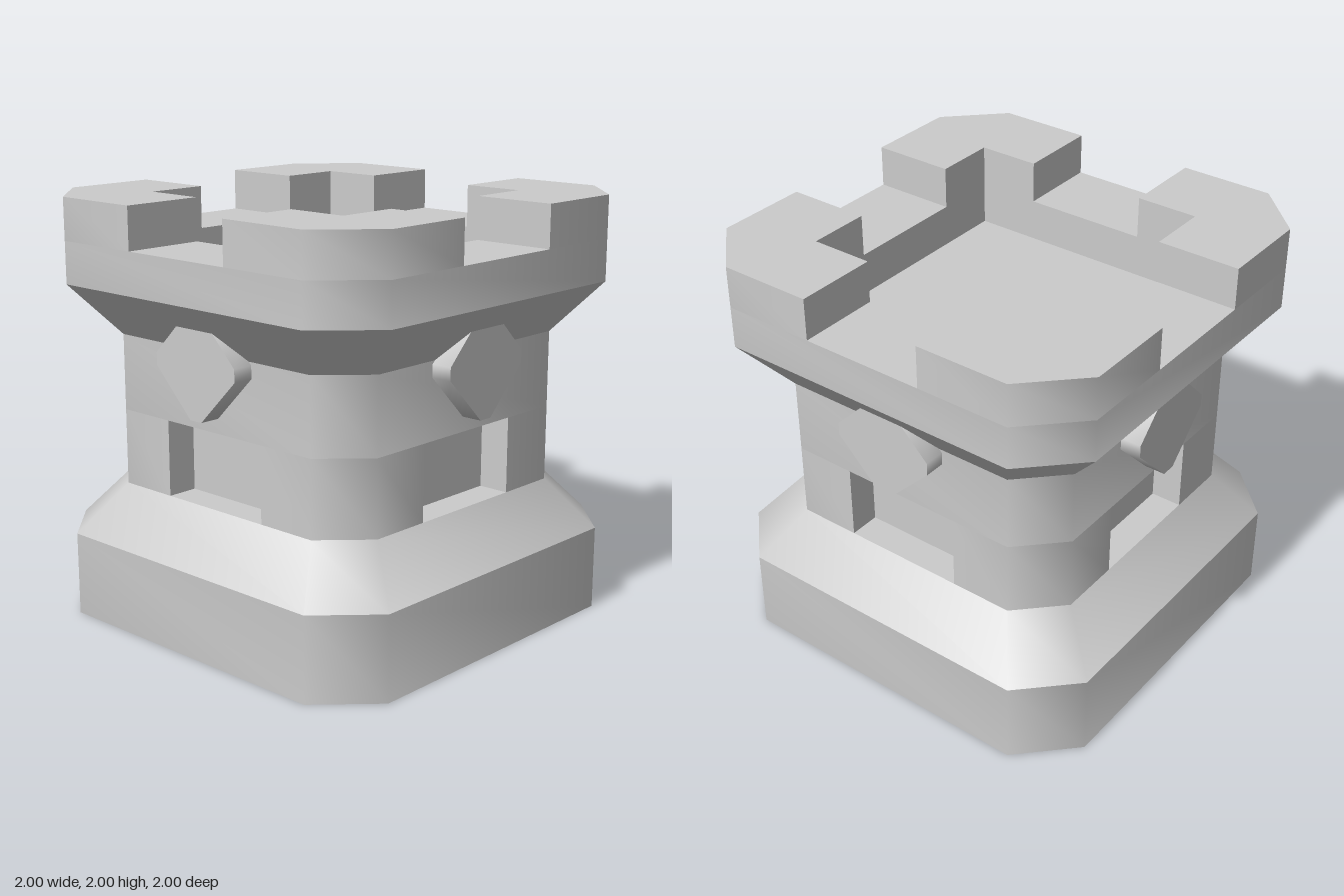
import * as THREE from 'three';
import { toCreasedNormals } from 'three/addons/utils/BufferGeometryUtils.js';

const material = new THREE.MeshStandardMaterial({ color: 0xcccccc });

const shapeOf = (pts) => new THREE.Shape(pts.map(([x, y]) => new THREE.Vector2(x, y)));

// Repeat a list of plan points around the four sides
const fourSides = (pts) => [0, 1, 2, 3].flatMap((k) =>
  pts.map(([x, y]) => [[x, y], [-y, x], [-x, -y], [y, -x]][k]));

// Square plan with chamfered corners
const octagon = (half) => fourSides([[half, -half * 0.75], [half, half * 0.75]]);

// Upright prism of a plan shape; the two ends may be scaled to make a slope
function prism(name, shape, y0, y1, bottomScale = 1, topScale = 1) {
  const geo = new THREE.ExtrudeGeometry(shape, { depth: y1 - y0, bevelEnabled: false });
  geo.rotateX(-Math.PI / 2).translate(0, y0, 0);
  const pos = geo.attributes.position;
  const mid = (y0 + y1) / 2;
  for (let i = 0; i < pos.count; i++) {
    const s = pos.getY(i) > mid ? topScale : bottomScale;
    pos.setX(i, pos.getX(i) * s);
    pos.setZ(i, pos.getZ(i) * s);
  }
  const sloped = bottomScale !== topScale;
  const mesh = new THREE.Mesh(toCreasedNormals(geo, sloped ? 0.7 : 0.8), material);
  mesh.name = name;
  return mesh;
}

export function createModel() {
  const tower = new THREE.Group();
  tower.name = 'tower';
  const outer = shapeOf(octagon(1));

  // Base and its sloped shoulder
  tower.add(prism('base', outer, 0, 0.4));
  tower.add(prism('baseSlope', outer, 0.4, 0.64, 1, 0.8));

  // Body: the lower storey has a doorway niche in each side
  const niches = fourSides([
    [0.8, -0.6], [0.8, -0.3], [0.65, -0.3], [0.65, 0.3], [0.8, 0.3], [0.8, 0.6],
  ]);
  tower.add(prism('bodyWithDoorways', shapeOf(niches), 0.64, 1));
  tower.add(prism('upperBody', shapeOf(octagon(0.8)), 1, 1.36));

  // Flared crown; its top is the platform floor
  tower.add(prism('crownSlope', outer, 1.36, 1.6, 0.8, 1));

  // Parapet ring around the square platform
  const ring = shapeOf(octagon(1));
  ring.holes.push(new THREE.Path(
    [[-0.6, -0.6], [-0.6, 0.6], [0.6, 0.6], [0.6, -0.6]].map(([x, y]) => new THREE.Vector2(x, y))));
  tower.add(prism('parapet', ring, 1.6, 1.8));

  // Corner battlements
  const corner = shapeOf([
    [1, 0.3], [1, 0.75], [0.75, 1], [0.3, 1], [0.3, 0.6], [0.6, 0.6], [0.6, 0.3],
  ]);
  for (let k = 0; k < 4; k++) {
    const merlon = prism('battlement', corner, 1.8, 2);
    merlon.rotation.y = k * Math.PI / 2;
    tower.add(merlon);
  }

  // Shield plaque above each doorway
  const right = [[0.035, 1.07], [0.25, 1.285], [0.25, 1.345], [0.11, 1.485]];
  const left = right.map(([x, y]) => [-x, y]).reverse();
  const shieldGeo = toCreasedNormals(
    new THREE.ExtrudeGeometry(shapeOf([...right, ...left]), { depth: 0.2, bevelEnabled: false })
      .translate(0, 0, 0.7), 0.8);
  for (let k = 0; k < 4; k++) {
    const shield = new THREE.Mesh(shieldGeo, material);
    shield.name = 'shield';
    shield.rotation.y = k * Math.PI / 2;
    tower.add(shield);
  }

  return tower;
}
